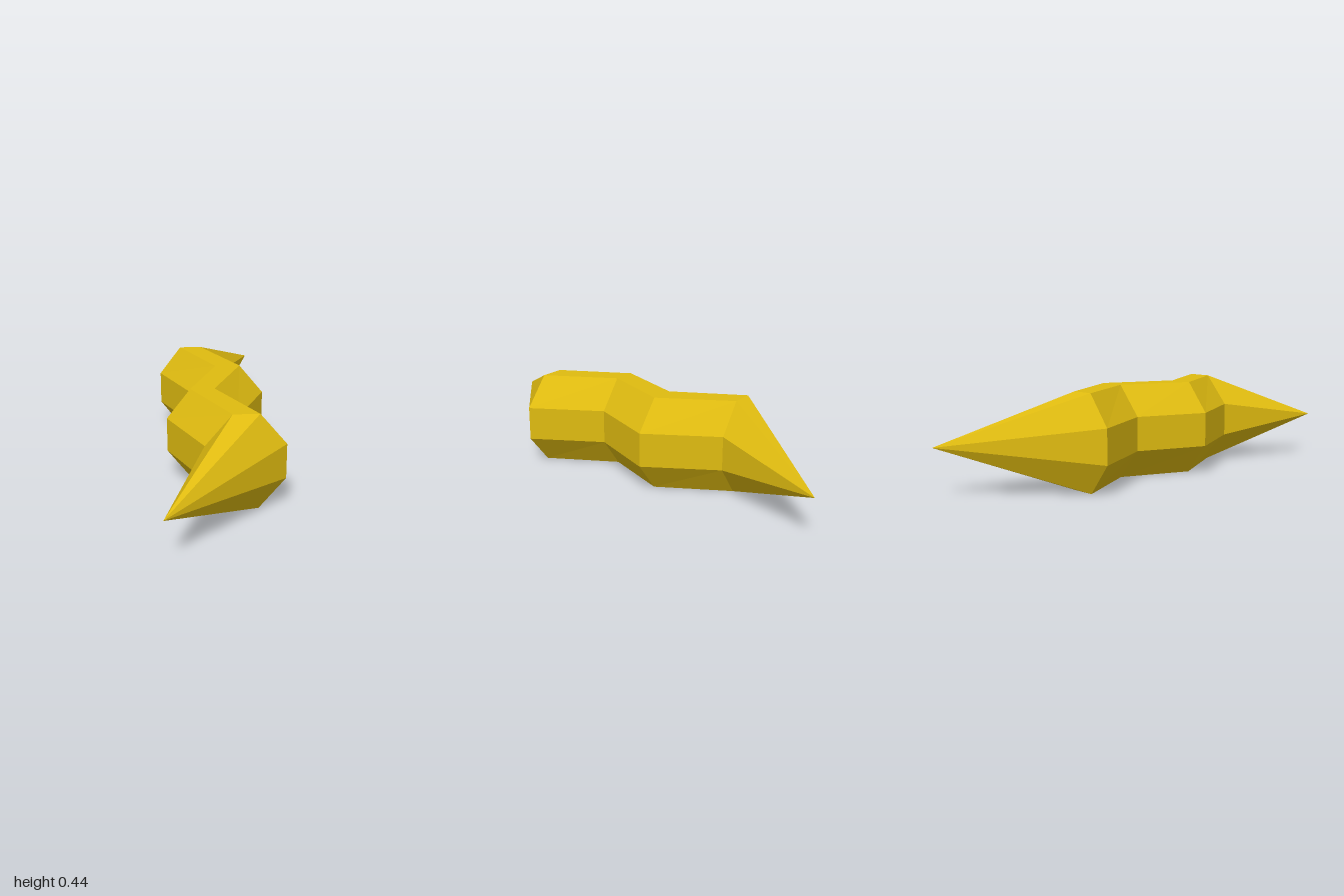
import * as THREE from 'three';

// Zigzag bolt: octagonal sections [z, centre x, half width, half width of top edge], front to back
const sections = [
  [1, -0.265, 0, 0],
  [0.51, 0.09, 0.175, 0.058],
  [0.185, -0.077, 0.163, 0.055],
  [-0.14, 0.062, 0.173, 0.059],
  [-0.465, -0.107, 0.158, 0.053],
  [-1, 0.238, 0, 0],
];
const MID = 0.22, HALF_HEIGHT = 0.22, HALF_SIDE = 0.08;

// Corners run counter-clockwise seen from the front; zero width makes a point
function ring([z, cx, w, t]) {
  if (w === 0) return Array.from({ length: 8 }, () => [cx, MID, z]);
  const corners = [
    [w, -HALF_SIDE], [w, HALF_SIDE], [t, HALF_HEIGHT], [-t, HALF_HEIGHT],
    [-w, HALF_SIDE], [-w, -HALF_SIDE], [-t, -HALF_HEIGHT], [t, -HALF_HEIGHT],
  ];
  return corners.map(([x, y]) => [cx + x, MID + y, z]);
}

// Flat faces joining two neighbouring sections
function segment(name, front, back, material) {
  const f = ring(front), b = ring(back), positions = [];
  for (let i = 0; i < 8; i++) {
    const j = (i + 1) % 8;
    if (back[2] > 0) positions.push(...f[i], ...b[i], ...b[j]);
    if (front[2] > 0) positions.push(...f[i], ...b[j], ...f[j]);
  }
  const geometry = new THREE.BufferGeometry();
  geometry.setAttribute('position', new THREE.Float32BufferAttribute(positions, 3));
  geometry.computeVertexNormals();
  const mesh = new THREE.Mesh(geometry, material);
  mesh.name = name;
  return mesh;
}

export function createModel() {
  const group = new THREE.Group();
  group.name = 'zigzagBolt';
  const gold = new THREE.MeshStandardMaterial({ color: 0xdfbb10 });
  gold.name = 'gold';
  const names = ['frontSpike', 'frontBend', 'middleBend', 'backBend', 'backSpike'];
  names.forEach((name, i) => group.add(segment(name, sections[i], sections[i + 1], gold)));
  return group;
}
